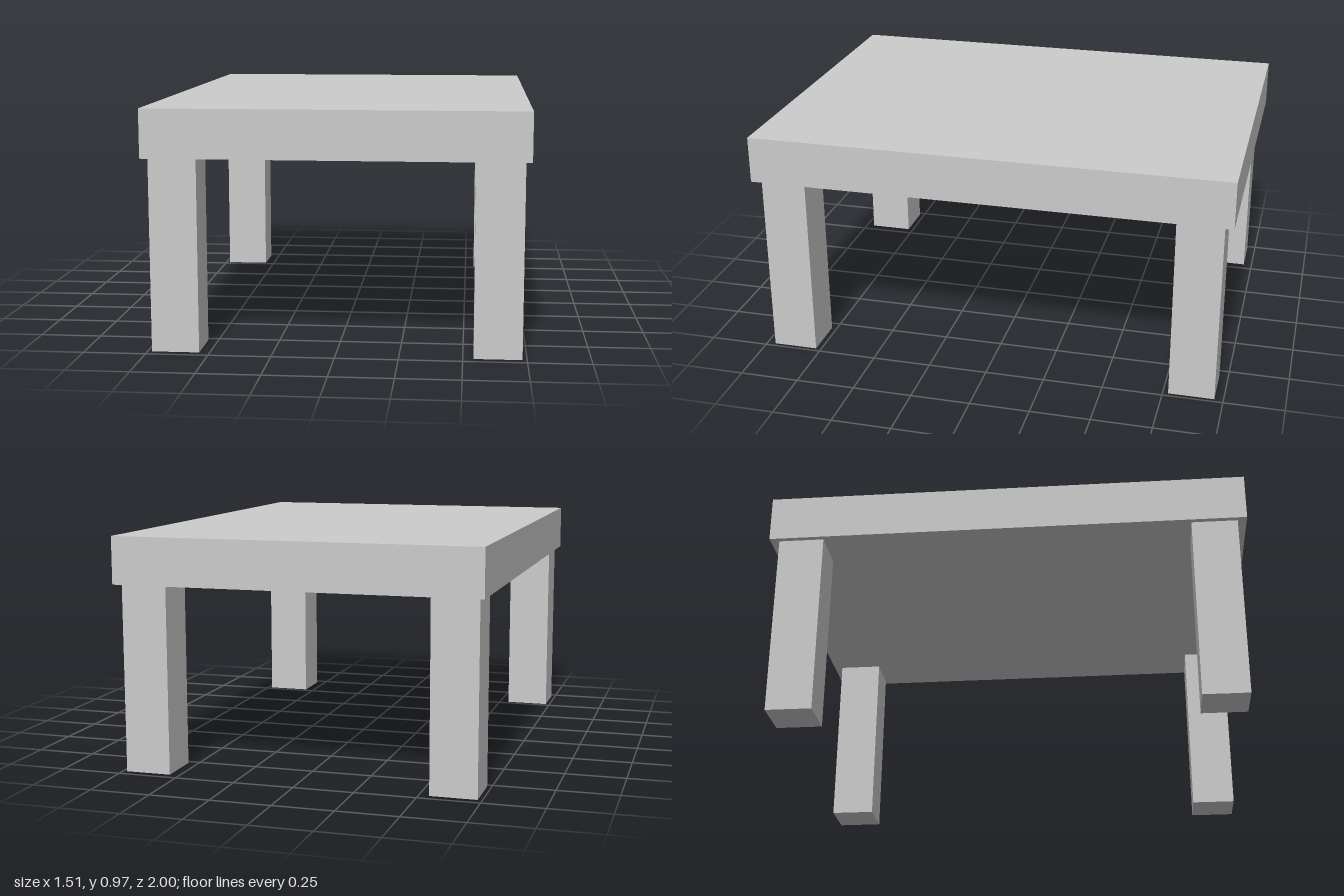
import * as THREE from 'three';

export function createModel() {
  const model = new THREE.Group();
  model.name = 'table';
  const material = new THREE.MeshStandardMaterial({ color: 0xcccccc, flatShading: true });

  const legHeight = 0.777, legWidth = 0.19, topThickness = 0.195;

  // Thick slab top
  const top = new THREE.Mesh(new THREE.BoxGeometry(1.51, topThickness, 2), material);
  top.name = 'tableTop';
  top.position.y = legHeight + topThickness / 2;
  model.add(top);

  // Four square legs, set in slightly from the corners
  const legGeometry = new THREE.BoxGeometry(legWidth, legHeight, legWidth);
  for (const [side, sx] of [['Left', 1], ['Right', -1]]) {
    for (const [end, sz] of [['front', 1], ['back', -1]]) {
      const leg = new THREE.Mesh(legGeometry, material);
      leg.name = `${end}${side}Leg`;
      leg.position.set(sx * 0.637, legHeight / 2, sz * 0.868);
      model.add(leg);
    }
  }
  return model;
}
